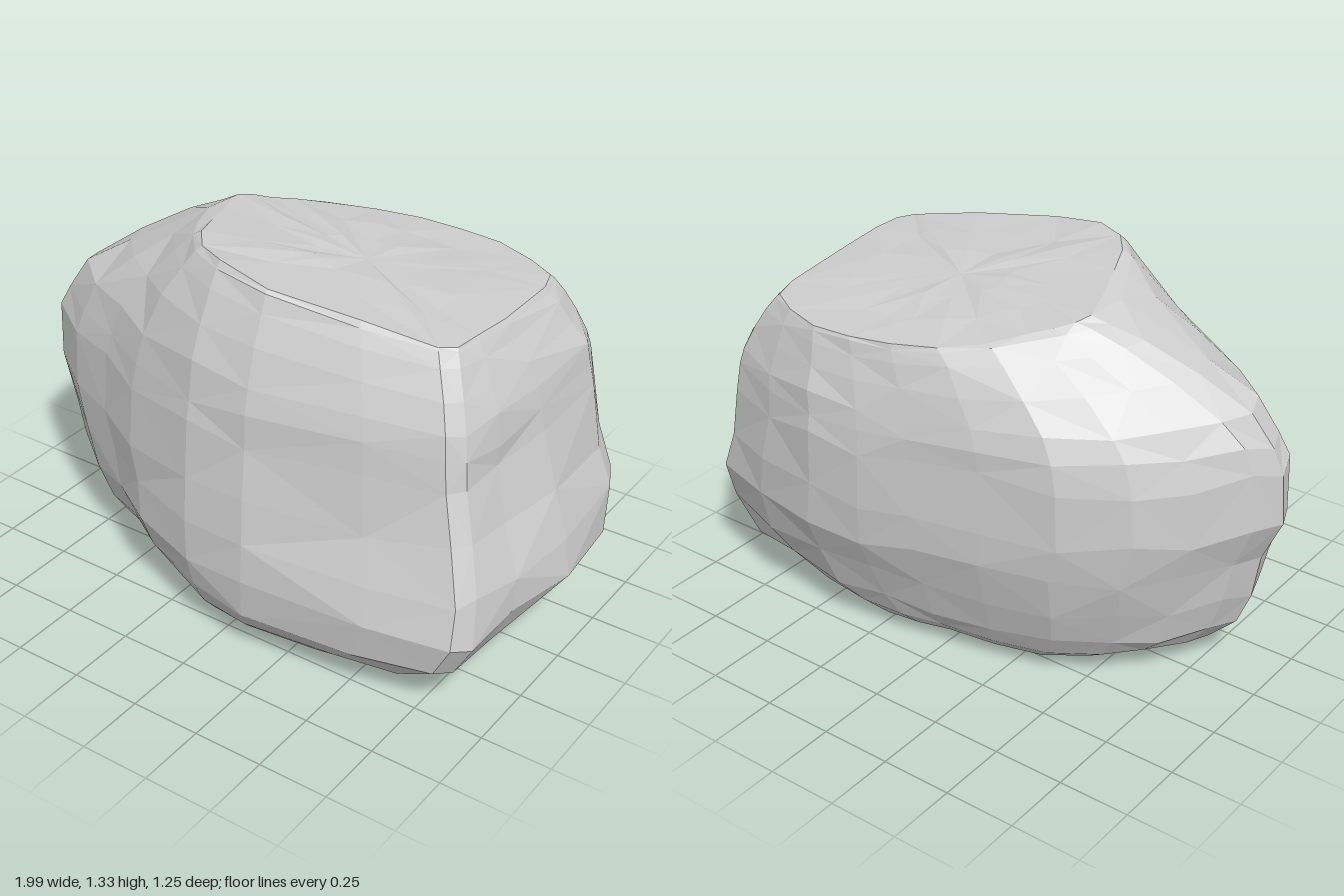
import * as THREE from 'three';

// Widest outline of the boulder (x, z): left tip, back, right, front
const WIDE = [
  [-1, .12], [-.95, 0], [-.83, -.16], [-.7, -.31], [-.5, -.44], [-.25, -.51], [0, -.56], [.2, -.6],
  [.42, -.62], [.68, -.58], [.92, -.51], [.98, -.4], [1, -.05], [.97, .25], [.94, .46], [.9, .53],
  [.6, .58], [.15, .62], [-.1, .6], [-.4, .51], [-.6, .41], [-.8, .33], [-.97, .2],
];

// Edge of the sloping top, point for point with the outline above
const TOP = [
  [-.4, -.13], [-.38, -.18], [-.33, -.23], [-.27, -.29], [-.18, -.38], [-.05, -.46], [.1, -.51], [.25, -.53],
  [.4, -.53], [.55, -.48], [.66, -.42], [.69, -.32], [.71, -.03], [.71, .14], [.7, .24], [.66, .29],
  [.42, .35], [.12, .41], [-.08, .39], [-.19, .34], [-.26, .25], [-.31, .13], [-.36, 0],
];

// Lower sections: y, then extents -x, +x, -z, +z
const LEVELS = [
  [.005, .3, .2, .12, .18],
  [.01, .58, .4, .25, .36],
  [.04, .67, .58, .4, .51],
  [.09, .77, .74, .455, .56],
  [.17, .85, .91, .5, .605],
  [.3, .9, .985, .555, .62],
  [.45, .935, .98, .615, .615],
  [.6, 1, .915, .62, .6],
  [.8, .985, .865, .62, .58],
];

// Shoulder sections: share of the way inwards, share of the way up
const SHOULDER = [[.06, .2], [.18, .41], [.45, .65], [.73, .85], [.91, .96], [1, 1]];

// Twisted slope of the top, and its centre
const topHeight = (x, z) => 1.252 - .1 * x + .15 * z - .1 * x * z;
const CENTRE = [.18, -.05];

// The front wall turns in at the upper right and the lower left
function frontTaper(x, y, z) {
  if (z < 0) return 1;
  const upper = THREE.MathUtils.smoothstep(y, .25, .75);
  const lower = 1 - THREE.MathUtils.smoothstep(y, 0, .35);
  return 1 - .2 * upper * Math.max(0, x) - .25 * lower * Math.max(0, -x);
}

function seeded(seed) {
  return () => {
    seed = (seed * 16807) % 2147483647;
    return seed / 2147483647 - .5;
  };
}

function boulderRings() {
  const rand = seeded(4217);
  const mix = THREE.MathUtils.lerp;
  const section = ([y, nx, px, nz, pz]) => WIDE.map(([x, z]) =>
    [x * (x < 0 ? nx : px), y, z / .62 * (z < 0 ? nz : pz) * frontTaper(x, y, z)]);
  const rings = LEVELS.map(section);
  const wall = rings[rings.length - 1];

  // Shoulder blends from the wall to the edge of the top
  for (const [a, b] of SHOULDER) {
    rings.push(TOP.map(([x, z], i) => [
      mix(wall[i][0], x, a), mix(wall[i][1], topHeight(x, z), b), mix(wall[i][2], z, a)]));
  }
  // Top surface
  for (const s of [.66, .33]) {
    rings.push(TOP.map(([tx, tz]) => {
      const x = mix(CENTRE[0], tx, s), z = mix(CENTRE[1], tz, s);
      return [x, topHeight(x, z), z];
    }));
  }
  // Chipped unevenness, strongest on the walls
  rings.forEach((ring, r) => {
    const wallRing = r > 3 && r < 11;
    for (const p of ring) {
      const push = 1 + rand() * (wallRing ? .02 : .01);
      p[0] *= push;
      p[2] *= push;
      p[1] += rand() * (wallRing ? .045 : r > 1 ? .012 : .004);
    }
  });
  // Closing points under and on top
  rings.unshift(WIDE.map(() => [-.05, 0, .04]));
  rings.push(TOP.map(() => [CENTRE[0], topHeight(...CENTRE) - .005, CENTRE[1]]));
  return rings;
}

function skin(rings) {
  const n = rings[0].length, index = [];
  for (let r = 0; r < rings.length - 1; r++) {
    for (let i = 0; i < n; i++) {
      const j = (i + 1) % n;
      const a = r * n + i, b = r * n + j, c = a + n, d = b + n;
      if (r === 0) index.push(a, c, d);
      else if (r === rings.length - 2) index.push(a, c, b);
      else if ((r + i) % 2) index.push(a, c, b, b, c, d);
      else index.push(a, c, d, a, d, b);
    }
  }
  const geometry = new THREE.BufferGeometry();
  geometry.setAttribute('position', new THREE.Float32BufferAttribute(rings.flat(2), 3));
  geometry.setIndex(index);
  geometry.computeVertexNormals();
  return geometry;
}

export function createModel() {
  const stone = new THREE.MeshStandardMaterial({ color: 0xcecece, flatShading: true });
  stone.name = 'pale grey stone';
  const boulder = new THREE.Mesh(skin(boulderRings()), stone);
  boulder.name = 'boulder';
  const group = new THREE.Group();
  group.name = 'rock';
  group.add(boulder);
  return group;
}
